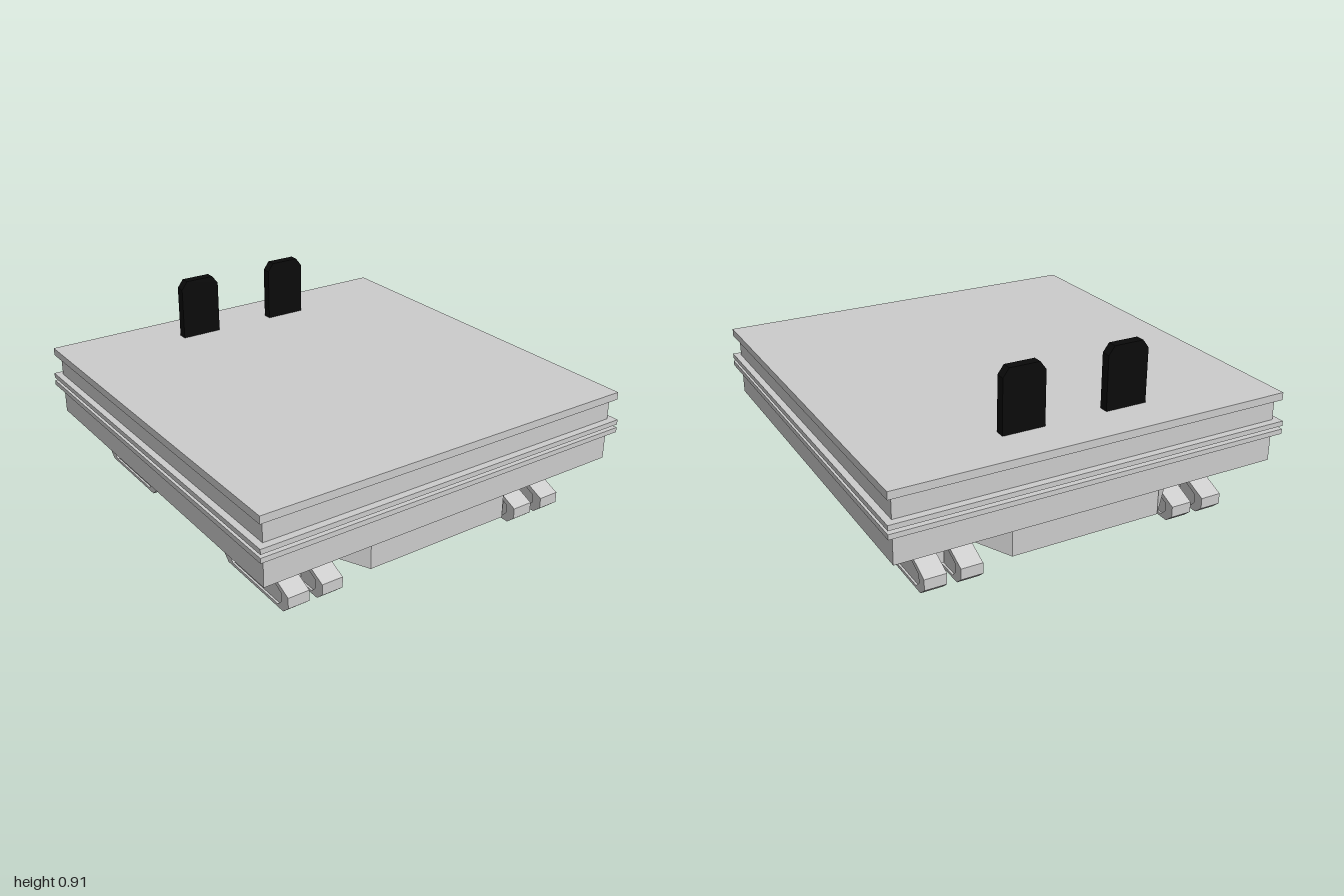
import * as THREE from 'three';

const grey = new THREE.MeshStandardMaterial({ color: 0xcccccc, flatShading: true });
const black = new THREE.MeshStandardMaterial({ color: 0x0a0a0a, flatShading: true });

function add(parent, name, geometry, material = grey) {
  const mesh = new THREE.Mesh(geometry, material);
  mesh.name = name;
  parent.add(mesh);
  return mesh;
}

// Box given by its limits on each axis
function box(parent, name, [x0, x1], [y0, y1], [z0, z1], material) {
  const g = new THREE.BoxGeometry(x1 - x0, y1 - y0, z1 - z0);
  g.translate((x0 + x1) / 2, (y0 + y1) / 2, (z0 + z1) / 2);
  return add(parent, name, g, material);
}

const points = (list) => list.map(([x, y]) => new THREE.Vector2(x, y));
const extrude = (shape, depth) => new THREE.ExtrudeGeometry(shape, { depth, bevelEnabled: false });

// Side profile of a crawler track: mirrored half outline
function trackOutline(bottom, end, top, y0, yLow, yHigh, y1) {
  const half = [[bottom, y0], [end, yLow], [end, yHigh], [top, y1]];
  return points([...half, ...half.slice().reverse().map(([z, y]) => [-z, y])]);
}

function createTrack() {
  const track = new THREE.Group();
  const width = 0.105;
  const outer = trackOutline(0.225, 0.265, 0.14, 0, 0.035, 0.088, 0.142);
  const inner = trackOutline(0.185, 0.212, 0.125, 0.014, 0.042, 0.084, 0.124);
  const belt = new THREE.Shape(outer);
  belt.holes.push(new THREE.Path(inner));
  const beltGeo = extrude(belt, width).translate(0, 0, -width / 2).rotateY(Math.PI / 2);
  const coreGeo = extrude(new THREE.Shape(inner), width - 0.02)
    .translate(0, 0, -width / 2 + 0.01).rotateY(Math.PI / 2);
  add(track, 'trackBelt', beltGeo);
  add(track, 'trackCore', coreGeo);
  return track;
}

// Two tracks joined by an axle block and a post
function createTruck() {
  const truck = new THREE.Group();
  truck.name = 'truck';
  for (const x of [-0.085, 0.085]) {
    const track = createTrack();
    track.name = 'track';
    track.position.x = x;
    truck.add(track);
  }
  box(truck, 'axleBlock', [-0.034, 0.034], [0.03, 0.09], [-0.1, 0.1]);
  box(truck, 'post', [-0.03, 0.03], [0.085, 0.175], [-0.03, 0.03]);
  return truck;
}

// Tapered arm from the chassis side to the truck mount
function armGeometry(sx, sz) {
  const g = new THREE.BoxGeometry(1, 1, 1);
  const p = g.attributes.position;
  for (let i = 0; i < p.count; i++) {
    const isOuter = p.getX(i) * sx > 0;
    const y = p.getY(i) > 0 ? 0.272 : isOuter ? 0.17 : 0.105;
    const z = sz * 0.6 + Math.sign(p.getZ(i)) * (isOuter ? 0.135 : 0.3);
    p.setXYZ(i, sx * (isOuter ? 0.55 : 0.375), y, z);
  }
  g.computeVertexNormals();
  return g;
}

function createChassis() {
  const chassis = new THREE.Group();
  chassis.name = 'chassis';
  const [w, l] = [0.375, 0.9];
  const plate = new THREE.Shape(points([[-w, -l], [w, -l], [w, l], [-w, l]]));
  const [cx, cz, hx, hz] = [0.185, 0.755, 0.165, 0.1];

  // Recessed bays with cross braces at both ends
  for (const sx of [-1, 1]) for (const sz of [-1, 1]) {
    const [x, z] = [sx * cx, sz * cz];
    plate.holes.push(new THREE.Path(points([
      [x - hx, z - hz], [x - hx, z + hz], [x + hx, z + hz], [x + hx, z - hz]])));
    for (const s of [-1, 1]) {
      const brace = add(chassis, 'crossBrace',
        new THREE.BoxGeometry(2 * Math.hypot(hx, hz), 0.02, 0.03));
      brace.position.set(x, 0.116, z);
      brace.rotation.y = s * Math.atan2(hz, hx);
    }
  }
  add(chassis, 'chassisBottom', extrude(plate, 0.085).rotateX(Math.PI / 2).translate(0, 0.19, 0));
  box(chassis, 'chassisTop', [-w, w], [0.19, 0.272], [-l, l]);
  return chassis;
}

function createSeatBack() {
  const [w, h, c] = [0.103, 0.3, 0.03];
  const shape = new THREE.Shape(points([
    [-w, 0], [w, 0], [w, h - c - 0.01], [w - c, h], [-w + c, h], [-w, h - c - 0.01]]));
  return extrude(shape, 0.046).translate(0, 0.614, -0.783);
}

export function createModel() {
  const model = new THREE.Group();
  model.name = 'crawlerPlatform';

  // Deck, hull and the two bands around it
  box(model, 'hull', [-0.945, 0.945], [0.27, 0.58], [-0.965, 0.965]);
  box(model, 'deck', [-0.97, 0.97], [0.577, 0.614], [-0.99, 0.99]);
  for (const y of [0.411, 0.451]) {
    box(model, 'sideBand', [-0.977, 0.977], [y, y + 0.024], [-1, 1]);
  }

  // Upright panels at the rear of the deck
  for (const s of [-1, 1]) {
    add(model, 'uprightPanel', createSeatBack(), black).position.x = s * 0.257;
  }

  model.add(createChassis());

  // Arms, mounts and trucks at the four corners
  for (const sx of [-1, 1]) for (const sz of [-1, 1]) {
    add(model, 'arm', armGeometry(sx, sz));
    const mount = box(model, 'truckMount', [-0.077, 0.077], [0.17, 0.272], [-0.135, 0.135]);
    mount.position.set(sx * 0.625, 0, sz * 0.6);
    const truck = createTruck();
    truck.position.set(sx * 0.63, 0, sz * 0.595);
    model.add(truck);
  }
  return model;
}
